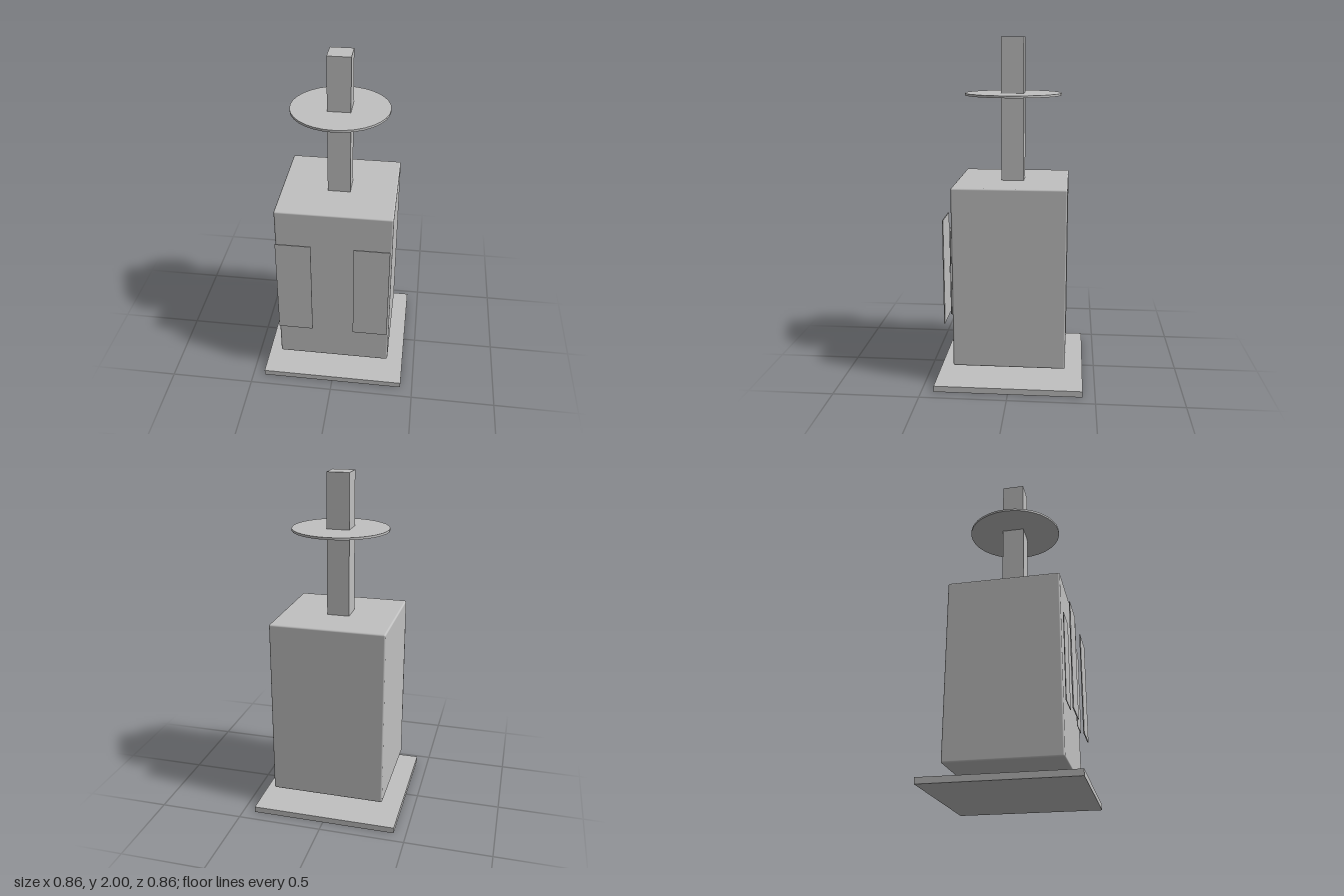
import * as THREE from 'three';
import { RoundedBoxGeometry } from 'three/addons/geometries/RoundedBoxGeometry.js';

export function createModel() {
  const model = new THREE.Group();
  model.name = 'tower';
  const grey = new THREE.MeshStandardMaterial({ color: 0xc0c0c0 });
  grey.name = 'plain grey';

  function add(name, geometry, x, y, z) {
    const mesh = new THREE.Mesh(geometry, grey);
    mesh.name = name;
    mesh.position.set(x, y, z);
    model.add(mesh);
  }

  // Square ground slab, with a gap below the body
  add('basePlate', new THREE.BoxGeometry(0.856, 0.035, 0.856), 0, 0.0175, 0);

  // Main block with softly rounded edges
  add('body', new RoundedBoxGeometry(0.67, 1.055, 0.65, 3, 0.01), 0, 0.6525, 0);

  // Square post and the thin disc around it
  add('post', new THREE.BoxGeometry(0.131, 0.83, 0.131), 0, 1.585, 0);
  add('disc', new THREE.CylinderGeometry(0.28, 0.28, 0.013, 32), 0, 1.678, 0);

  // Pair of floating front panels, each with a smaller backing panel
  for (const [side, s] of [['left', 1], ['right', -1]]) {
    add(side + 'FrontPanel', new THREE.BoxGeometry(0.204, 0.614, 0.006), s * 0.224, 0.687, 0.373);
    add(side + 'BackingPanel', new THREE.BoxGeometry(0.166, 0.51, 0.004), s * 0.224, 0.687, 0.335);
  }

  return model;
}
